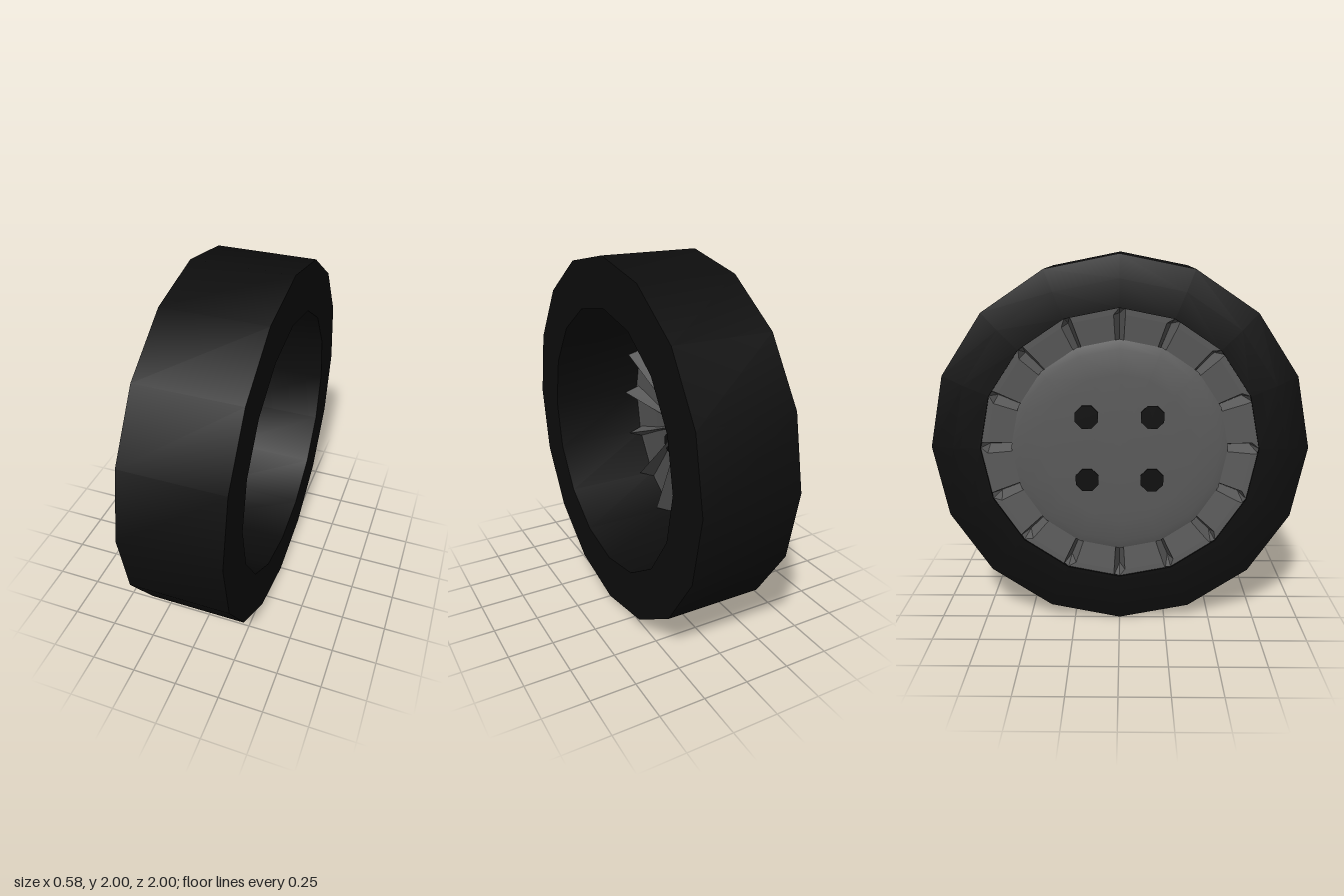
import * as THREE from 'three';
import { toCreasedNormals } from 'three/addons/utils/BufferGeometryUtils.js';

const SIDES = 16;

export function createModel() {
  const rubber = new THREE.MeshStandardMaterial({ color: 0x0d0d0d });
  rubber.name = 'black rubber';
  const metal = new THREE.MeshStandardMaterial({ color: 0x5a5a5a, side: THREE.DoubleSide });
  metal.name = 'grey metal';

  const wheel = new THREE.Group();
  wheel.name = 'wheel';
  wheel.position.y = 1;

  const add = (name, geometry, material) => {
    const mesh = new THREE.Mesh(geometry, material);
    mesh.name = name;
    wheel.add(mesh);
    return mesh;
  };

  // Turned part around the x axle; profile points are [radius, x]
  const turned = (profile) => {
    const g = new THREE.LatheGeometry(profile.map(([r, x]) => new THREE.Vector2(r, x)), SIDES);
    return toCreasedNormals(g.rotateZ(-Math.PI / 2), 0.5);
  };

  // Tyre: chamfered on the hub side, open barrel on the other
  add('tyre', turned([
    [0.735, -0.28], [0.88, -0.28], [1, -0.25], [1, 0.29], [0.735, 0.29], [0.735, -0.28],
  ]), rubber);

  // Shallow domed cap on the outer face
  add('hubCap', turned([[0, -0.285], [0.2, -0.284], [0.4, -0.28], [0.53, -0.272], [0.575, -0.258]]), metal);

  // Conical rim plate folded into sixteen radial fins
  add('finnedRim', finnedRim(), metal);

  // Small flat boss where the fins meet
  add('hubBoss', new THREE.CircleGeometry(0.072, SIDES).rotateY(Math.PI / 2).translate(-0.184, 0, 0), metal);

  // Four octagonal wheel bolts
  for (const y of [-0.172, 0.172]) {
    for (const z of [-0.172, 0.172]) {
      const g = new THREE.CylinderGeometry(0.066, 0.066, 0.085, 8);
      g.rotateY(Math.PI / 8).rotateZ(Math.PI / 2);
      add('wheelBolt', g, rubber).position.set(-0.2485, y, z);
    }
  }

  const model = new THREE.Group();
  model.name = 'carWheel';
  model.add(wheel);
  return model;
}

function finnedRim() {
  // Rows from hub to rim: radius, plate x, fin ridge x, fin half width
  const rows = [
    [0.07, -0.19, -0.185, 0.008],
    [0.4, -0.235, -0.178, 0.012],
    [0.7, -0.268, -0.17, 0.03],
    [0.735, -0.27, -0.268, 0.03],
  ];
  const point = (k, row, col) => {
    // col 0 and 2 are the feet of the fin, col 1 is its ridge
    const [r, plate, ridge, w] = rows[row];
    const a = (k / SIDES) * Math.PI * 2 + (col - 1) * (w / r);
    return [col === 1 ? ridge : plate, r * Math.cos(a), r * Math.sin(a)];
  };
  const pos = [];
  const quad = (a, b, c, d) => pos.push(...a, ...b, ...c, ...a, ...c, ...d);
  for (let k = 0; k < SIDES; k++) {
    for (let i = 0; i < rows.length - 1; i++) {
      // Two fin walls, then the plate up to the next fin
      const cols = [[k, 0], [k, 1], [k, 2], [k + 1, 0]];
      for (let j = 0; j < 3; j++) {
        const [k0, c0] = cols[j], [k1, c1] = cols[j + 1];
        quad(point(k0, i, c0), point(k0, i + 1, c0), point(k1, i + 1, c1), point(k1, i, c1));
      }
    }
  }
  const g = new THREE.BufferGeometry();
  g.setAttribute('position', new THREE.Float32BufferAttribute(pos, 3));
  g.computeVertexNormals();
  return g;
}
